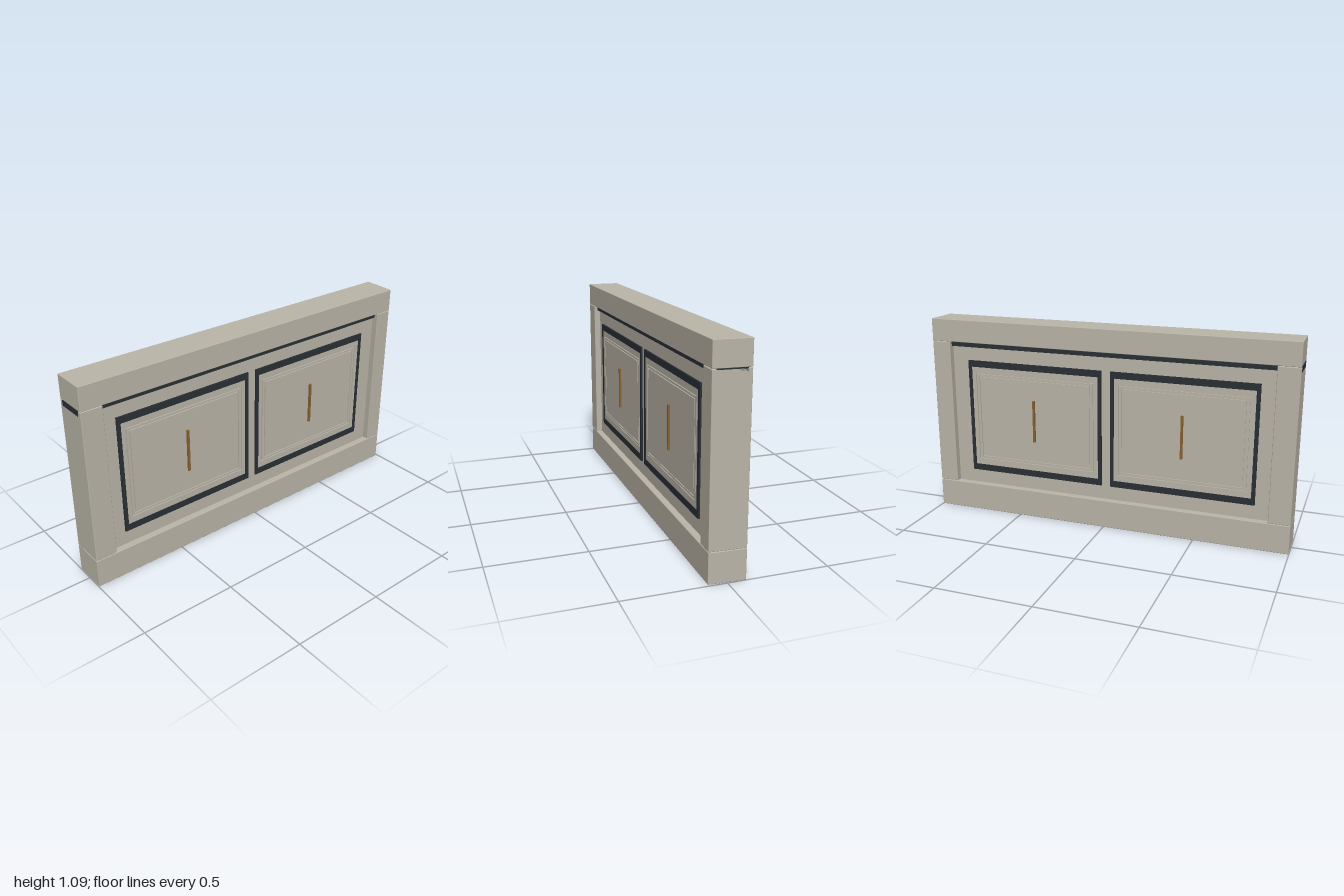
import * as THREE from 'three';
import { RoundedBoxGeometry } from 'three/addons/geometries/RoundedBoxGeometry.js';

const stone = new THREE.MeshStandardMaterial({ color: 0xbab5a8 });
const dark = new THREE.MeshStandardMaterial({ color: 0x2a3036 });
const brass = new THREE.MeshStandardMaterial({ color: 0x8a6232 });

const HALF_DEPTH = 0.09;
const CENTRE = -0.005;

// The +x end is cut at a slight slant from front to back
function slantEnd(geometry) {
  const p = geometry.attributes.position;
  for (let i = 0; i < p.count; i++) {
    if (p.getX(i) > 0.95) p.setX(i, p.getX(i) - 0.01 * (p.getZ(i) + HALF_DEPTH) / (2 * HALF_DEPTH));
  }
  return geometry;
}

// Block given by its x and y limits and half depth, with softly eased edges
function block(name, x0, x1, y0, y1, halfDepth, material = stone, radius = 0.003) {
  const size = [x1 - x0, y1 - y0, 2 * halfDepth];
  const geometry = radius ? new RoundedBoxGeometry(...size, 2, radius) : new THREE.BoxGeometry(...size);
  geometry.translate((x0 + x1) / 2, (y0 + y1) / 2, 0);
  const mesh = new THREE.Mesh(slantEnd(geometry), material);
  mesh.name = name;
  return mesh;
}

// Rectangular ring, centred on the origin, from z0 to z1
function ring(name, w, h, sideWidth, railWidth, z0, z1, material) {
  const rect = (target, a, b) => {
    target.moveTo(-a, -b);
    target.lineTo(a, -b);
    target.lineTo(a, b);
    target.lineTo(-a, b);
    target.closePath();
    return target;
  };
  const shape = rect(new THREE.Shape(), w / 2, h / 2);
  shape.holes.push(rect(new THREE.Path(), w / 2 - sideWidth, h / 2 - railWidth));
  const geometry = new THREE.ExtrudeGeometry(shape, { depth: z1 - z0, bevelEnabled: false });
  geometry.translate(0, 0, z0);
  const mesh = new THREE.Mesh(geometry, material);
  mesh.name = name;
  return mesh;
}

function plate(name, w, h, z0, z1, material) {
  const mesh = new THREE.Mesh(new THREE.BoxGeometry(w, h, z1 - z0), material);
  mesh.position.z = (z0 + z1) / 2;
  mesh.name = name;
  return mesh;
}

// One framed panel with stepped moulding and a slim vertical handle
function framedPanel() {
  const g = new THREE.Group();
  g.name = 'framedPanel';
  g.add(
    ring('darkFrame', 0.78, 0.635, 0.02, 0.035, 0.05, 0.064, dark),
    ring('panelBorder', 0.74, 0.565, 0.024, 0.035, 0.05, 0.061, stone),
    ring('moulding', 0.684, 0.487, 0.015, 0.012, 0.05, 0.061, stone),
    plate('panelField', 0.645, 0.455, 0.05, 0.061, stone)
  );
  const handle = plate('handle', 0.012, 0.232, 0.058, 0.072, brass);
  handle.position.y = 0.003;
  g.add(handle);
  return g;
}

export function createModel() {
  const model = new THREE.Group();
  model.name = 'panelledWall';

  // Outer surround and recessed core
  model.add(
    block('bottomRail', -0.998, 1, 0, 0.153, HALF_DEPTH),
    block('topRail', -0.998, 1, 0.967, 1.09, HALF_DEPTH),
    block('rightPost', -0.998, -0.885, 0.155, 0.965, HALF_DEPTH),
    block('leftPost', 0.895, 1, 0.155, 0.965, HALF_DEPTH),
    block('core', -0.9, 0.91, 0.14, 0.98, 0.055, stone, 0),
    block('shadowStrip', -1, 1, 0.94, 0.968, 0.07, dark, 0)
  );

  // Two framed panels on each face
  for (const face of [1, -1]) {
    for (const side of [-1, 1]) {
      const panel = framedPanel();
      panel.position.set(CENTRE + side * 0.415, 0.5475, 0);
      if (face < 0) panel.rotation.y = Math.PI;
      model.add(panel);
    }
  }
  return model;
}
